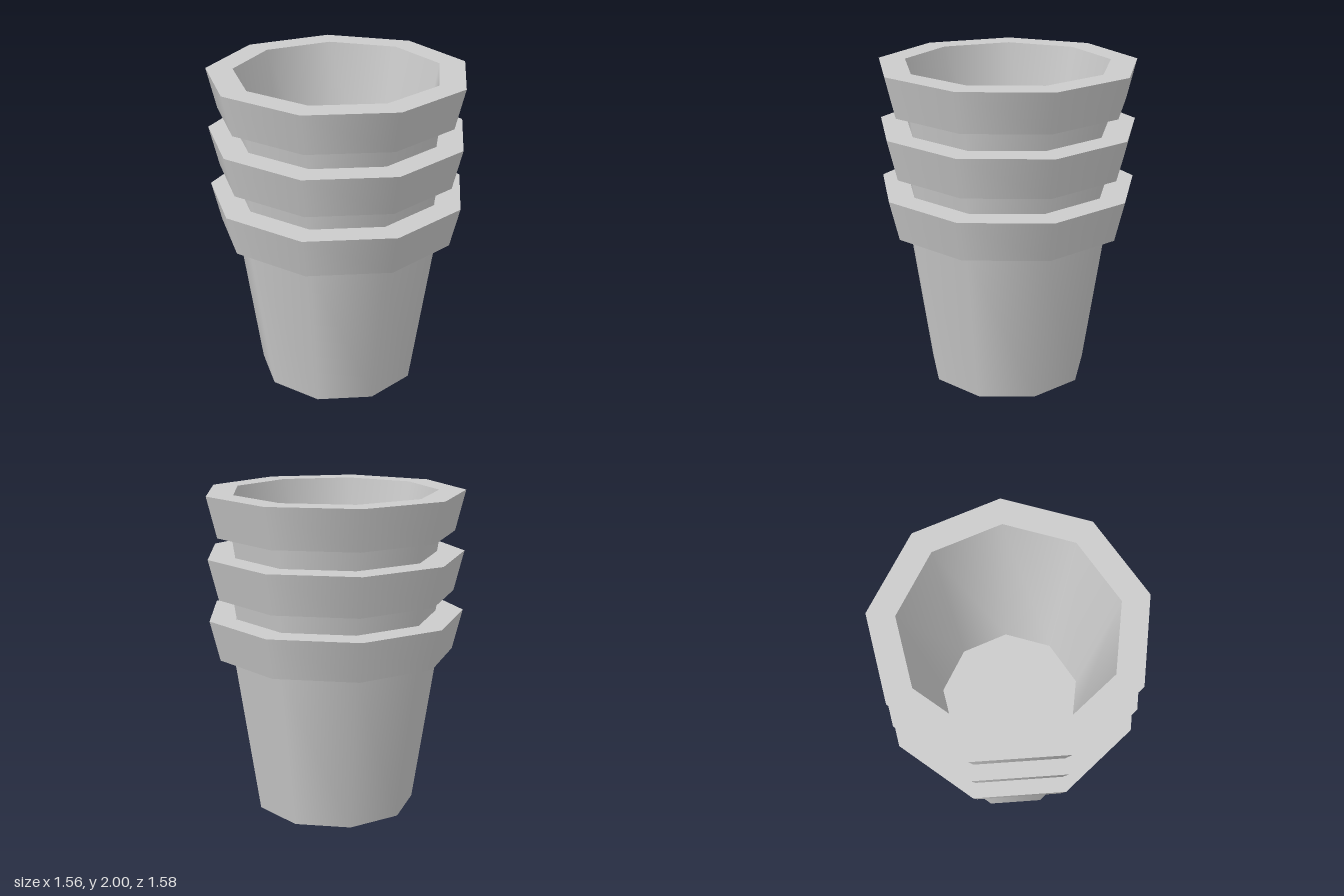
import * as THREE from 'three';
import { mergeGeometries } from 'three/addons/utils/BufferGeometryUtils.js';

const SIDES = 9;
const POT_STEP = 0.375;
const AXIS_X = 0.024; // a nine-sided outline is centred by its bounds

// Turns each profile segment separately: smooth around, sharp between bands.
function turnedBands(profile) {
  const bands = [];
  for (let i = 0; i < profile.length - 1; i++) {
    const points = [profile[i], profile[i + 1]].map(([r, y]) => new THREE.Vector2(r, y));
    bands.push(new THREE.LatheGeometry(points, SIDES, -Math.PI / 2));
  }
  return mergeGeometries(bands);
}

export function createModel() {
  const group = new THREE.Group();
  group.name = 'stackedPots';
  const material = new THREE.MeshStandardMaterial({ color: 0xcccccc });

  const parts = {
    // Recessed underside, foot ring and tapered wall
    body: turnedBands([[0, 0.09], [0.39, 0.09], [0.39, 0], [0.503, 0], [0.653, 1]]),
    // Flared collar around the mouth
    rim: turnedBands([[0.653, 1], [0.742, 1], [0.804, 1.25], [0.638, 1.25]]),
    // Inner wall and floor
    interior: turnedBands([[0.638, 1.25], [0.436, 0.12], [0, 0.12]]),
  };

  // Three identical nested pots
  ['bottomPot', 'middlePot', 'topPot'].forEach((name, i) => {
    const pot = new THREE.Group();
    pot.name = name;
    for (const [part, geometry] of Object.entries(parts)) {
      const mesh = new THREE.Mesh(geometry, material);
      mesh.name = part;
      pot.add(mesh);
    }
    pot.position.set(AXIS_X, i * POT_STEP, 0);
    group.add(pot);
  });

  return group;
}
